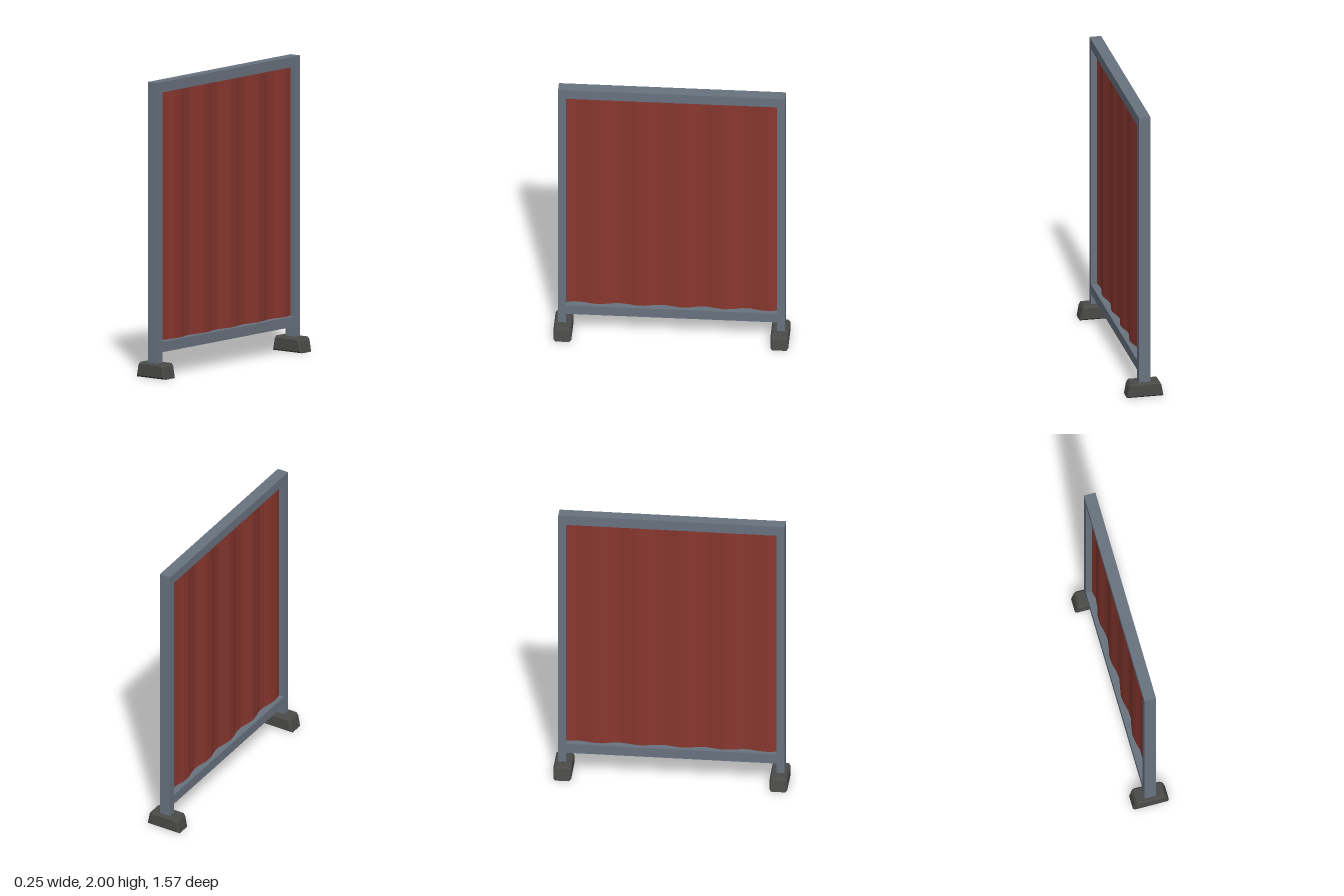
import * as THREE from 'three';

const mat = (name, color) => Object.assign(new THREE.MeshStandardMaterial({ color, flatShading: true }), { name });

export function createModel() {
  const group = new THREE.Group();
  const steel = mat('blue grey steel', 0x69737f);
  const red = mat('brick red sheet', 0x88372f);
  red.side = THREE.DoubleSide;
  const rubber = mat('dark rubber', 0x4a4a48);

  const add = (name, geometry, material, x, y, z) => {
    const mesh = new THREE.Mesh(geometry, material);
    mesh.name = name;
    mesh.position.set(x, y, z);
    group.add(mesh);
    return mesh;
  };

  // Foot block: tapered profile extruded along z with chamfered ends
  const footShape = new THREE.Shape([
    [-0.125, 0], [0.125, 0], [0.11, 0.08], [0.097, 0.1], [-0.097, 0.1], [-0.11, 0.08],
  ].map(([x, y]) => new THREE.Vector2(x, y)));
  const bevel = 0.012, footWidth = 0.12;
  const footGeometry = new THREE.ExtrudeGeometry(footShape, {
    depth: footWidth - 2 * bevel, bevelEnabled: true, bevelThickness: bevel,
    bevelSize: bevel, bevelOffset: -bevel, bevelSegments: 1,
  }).translate(0, 0, bevel - footWidth / 2);

  // Posts and feet at both ends
  for (const side of [1, -1]) {
    const end = side > 0 ? 'front' : 'back';
    add(end + 'Post', new THREE.BoxGeometry(0.08, 1.95, 0.053), steel, 0, 1.025, side * 0.7345);
    add(end + 'Foot', footGeometry, rubber, 0, 0, side * 0.727);
  }

  // Rails between the posts
  add('topRail', new THREE.BoxGeometry(0.08, 0.07, 1.416), steel, 0, 1.965, 0);
  add('bottomRail', new THREE.BoxGeometry(0.08, 0.07, 1.416), steel, 0, 0.205, 0);

  // Corrugated sheet: five shallow waves along z
  const width = 1.416;
  const sheet = new THREE.PlaneGeometry(width, 1.69, 24, 1).rotateY(Math.PI / 2);
  const p = sheet.attributes.position;
  for (let i = 0; i < p.count; i++) {
    p.setX(i, 0.012 * Math.sin(10 * Math.PI * (p.getZ(i) / width + 0.5)));
  }
  sheet.computeVertexNormals();
  add('corrugatedSheet', sheet, red, 0, 1.085, 0);

  return group;
}
